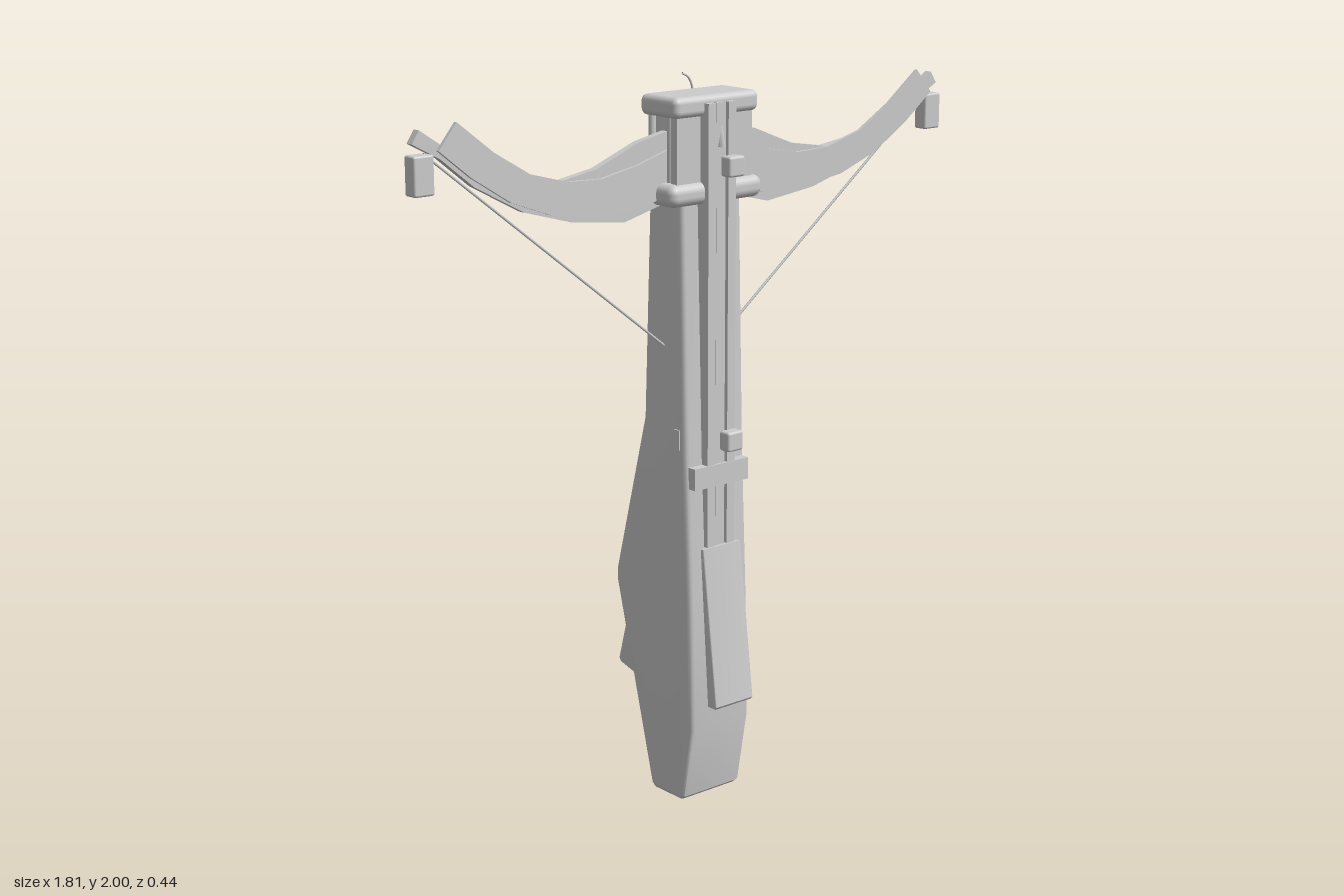
import * as THREE from 'three';
import { RoundedBoxGeometry } from 'three/addons/geometries/RoundedBoxGeometry.js';
import { toCreasedNormals } from 'three/addons/utils/BufferGeometryUtils.js';

const grey = new THREE.MeshStandardMaterial({ color: 0xcccccc, side: THREE.DoubleSide });

export function createModel() {
  const model = new THREE.Group();

  const add = (name, geometry) => {
    const mesh = new THREE.Mesh(geometry, grey);
    mesh.name = name;
    model.add(mesh);
    return mesh;
  };

  // Boxes given by their limits on each axis; r rounds the edges
  const box = (name, [x0, x1], [y0, y1], [z0, z1], r = 0) => {
    const size = [x1 - x0, y1 - y0, z1 - z0];
    const g = r ? new RoundedBoxGeometry(...size, 3, r) : new THREE.BoxGeometry(...size);
    g.translate((x0 + x1) / 2, (y0 + y1) / 2, (z0 + z1) / 2);
    return add(name, g);
  };

  // Side profile of [z, y] points, extruded across x with rounded edges
  const sideProfile = (name, points, width, bevel) => {
    const shape = new THREE.Shape(points.map(([z, y]) => new THREE.Vector2(z, y)));
    const g = new THREE.ExtrudeGeometry(shape, {
      depth: width - 2 * bevel, bevelSize: bevel, bevelThickness: bevel,
      bevelOffset: -bevel, bevelSegments: 3,
    });
    g.translate(0, 0, -(width - 2 * bevel) / 2);
    g.rotateY(-Math.PI / 2);
    return add(name, toCreasedNormals(g, 0.6));
  };

  // Stock
  sideProfile('stock', [
    [0.115, 0.003], [0.13, 0.015], [0.167, 0.22], [0.158, 0.6], [0.14, 1.0], [0.115, 1.95],
    [0, 1.95], [-0.035, 1.08], [-0.16, 0.615], [-0.16, 0.585], [-0.01, 0.015], [0.005, 0.003],
  ], 0.21, 0.014);

  // Grip, trigger and butt pad on the back
  sideProfile('grip', [
    [-0.135, 0.505], [-0.16, 0.5], [-0.172, 0.485], [-0.218, 0.32], [-0.21, 0.305],
    [-0.115, 0.28], [-0.098, 0.29], [-0.09, 0.34],
  ], 0.11, 0.015);
  sideProfile('trigger', [
    [-0.14, 0.625], [-0.16, 0.612], [-0.175, 0.593], [-0.16, 0.575], [-0.14, 0.58],
  ], 0.016, 0.003);
  box('buttPad', [-0.085, 0.085], [0.015, 0.07], [-0.042, 0.02], 0.015);

  // Head cap and binding band
  box('headCap', [-0.145, 0.145], [1.905, 1.96], [0, 0.148], 0.018);
  box('bindingBand', [-0.16, 0.16], [1.675, 1.735], [0, 0.152], 0.025);

  // Bolt rail with a central groove
  box('railCentre', [-0.016, 0.016], [0.7, 1.94], [0.11, 0.16]);
  box('crossPlate', [-0.095, 0.095], [0.91, 0.97], [0.13, 0.168]);

  // Cocking lever
  sideProfile('lever', [[0.158, 0.74], [0.17, 0.74], [0.225, 0.3], [0.22, 0.293], [0.19, 0.293]], 0.136, 0.004);

  // Sights in front of the rail
  for (const [name, y] of [['frontSight', 1.78], ['rearSight', 1.043]]) {
    box(name, [-0.027, 0.027], [y - 0.027, y + 0.027], [0.187, 0.225], 0.007);
  }
  const post = new THREE.ConeGeometry(0.014, 0.06, 4);
  post.translate(0, 1.855, 0.163);
  add('boltTip', post);

  // Limb outline in the front plane, given depth, then swept along z by x
  const limb = (name, points, z, depth, drift, side) => {
    const shape = new THREE.Shape(points.map(([x, y]) => new THREE.Vector2(x * side, y)));
    const g = new THREE.ExtrudeGeometry(shape, { depth, bevelEnabled: false });
    const p = g.attributes.position;
    for (let i = 0; i < p.count; i++) p.setZ(i, z + p.getZ(i) + drift * Math.abs(p.getX(i)));
    g.computeVertexNormals();
    add(name, toCreasedNormals(g, 0.5));
  };
  const mainLimb = [
    [0.08, 1.685], [0.25, 1.642], [0.42, 1.662], [0.57, 1.705], [0.72, 1.785], [0.82, 1.865],
    [0.9, 1.908], [0.878, 1.94], [0.81, 1.895], [0.7, 1.83], [0.58, 1.785], [0.46, 1.77],
    [0.34, 1.79], [0.2, 1.845], [0.08, 1.87],
  ];
  const frontLimb = [
    [0.08, 1.715], [0.22, 1.672], [0.36, 1.672], [0.5, 1.692], [0.63, 1.74], [0.75, 1.815],
    [0.845, 1.89], [0.79, 1.955], [0.68, 1.87], [0.57, 1.805], [0.45, 1.772], [0.34, 1.768],
    [0.22, 1.79], [0.08, 1.83],
  ];

  for (const s of [1, -1]) {
    const side = s > 0 ? 'left' : 'right';
    const span = (a, b) => (s > 0 ? [a, b] : [-b, -a]);

    box(side + 'Rail', span(0.021, 0.048), [0.74, 1.94], [0.11, 0.165]);
    box(side + 'HeadPlate', span(0.05, 0.13), [1.72, 1.92], [0.112, 0.135]);
    box(side + 'SideLug', span(0.095, 0.109), [1.015, 1.07], [0.097, 0.118]);

    // Rods tying the cap to the band
    for (const z of [0.02, 0.095]) {
      const rod = new THREE.CylinderGeometry(0.01, 0.01, 0.2, 10);
      rod.translate(s * 0.117, 1.82, z);
      add(side + 'BindingRod', rod);
    }

    // Bow limbs and their end blocks
    limb(side + 'MainLimb', mainLimb, 0.046, 0.022, -0.006, s);
    limb(side + 'FrontLimb', frontLimb, 0.075, 0.01, 0.012, s);
    box(side + 'LimbBlock', span(0.845, 0.905), [1.78, 1.88], [0.034, 0.077], 0.006);

    // Drawn string
    const string = new THREE.LineCurve3(
      new THREE.Vector3(s * 0.86, 1.88, 0.052), new THREE.Vector3(0, 1.21, 0.052));
    add(side + 'String', new THREE.TubeGeometry(string, 1, 0.0035, 6));
  }

  // Carrying hook at the top of the back
  const hook = new THREE.CatmullRomCurve3([
    [0.018, 1.997], [0.04, 1.985], [0.054, 1.955], [0.05, 1.92], [0.04, 1.9],
  ].map(([x, y]) => new THREE.Vector3(x, y, -0.018)));
  add('hook', new THREE.TubeGeometry(hook, 16, 0.003, 6));

  return model;
}
